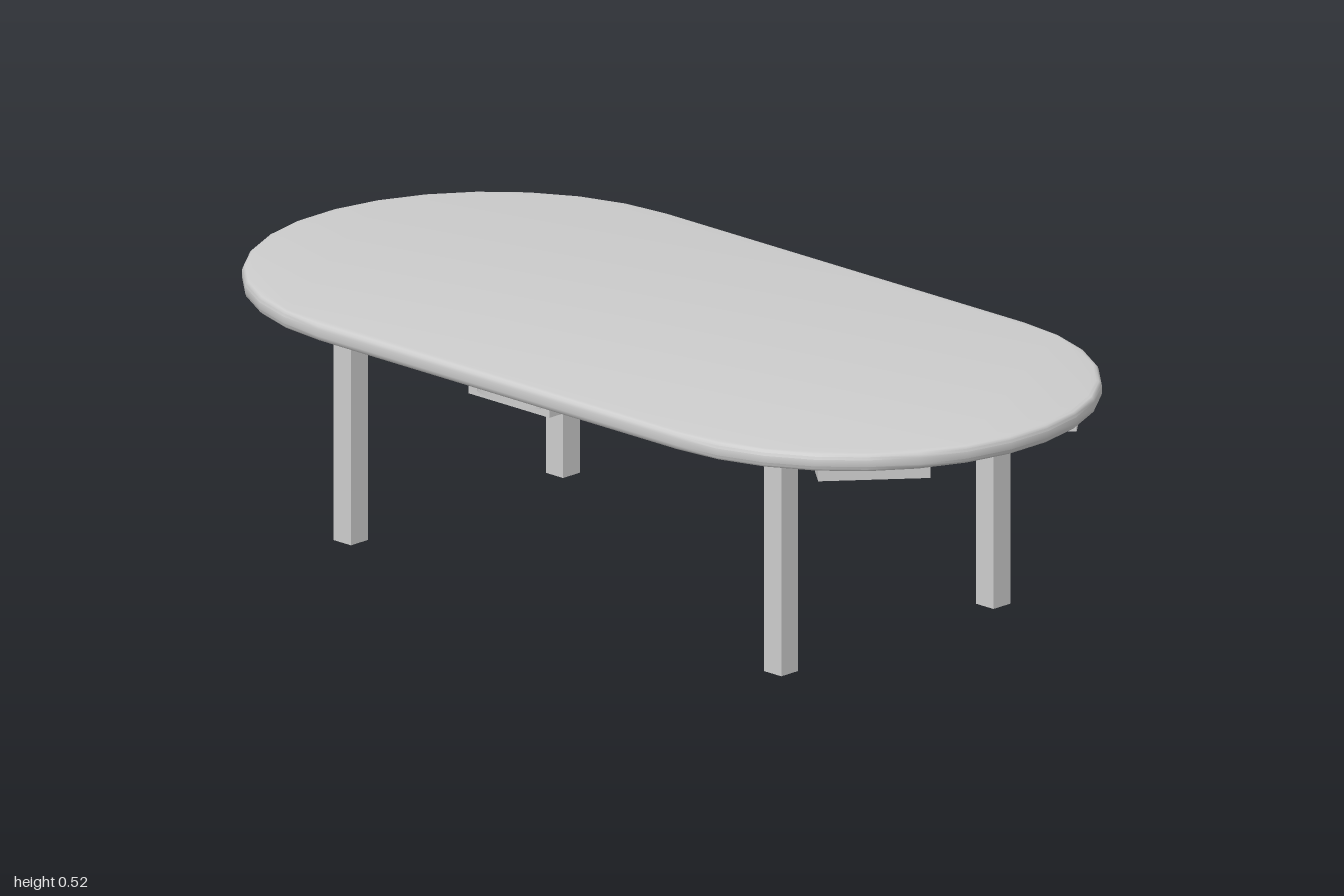
import * as THREE from 'three';
import { toCreasedNormals } from 'three/addons/utils/BufferGeometryUtils.js';

const TOP_Y = 0.523, UNDER_Y = 0.485;

// Rounded-edge slab with two straight sides and half-round ends
function topGeometry() {
  const points = [], segments = 15, radius = 0.5, bevel = 0.012;
  for (const side of [1, -1]) {
    for (let i = 0; i <= segments; i++) {
      const a = -Math.PI / 2 + (Math.PI * i) / segments;
      points.push(new THREE.Vector2(side * (0.5 + radius * Math.cos(a)), side * radius * Math.sin(a)));
    }
  }
  const geometry = new THREE.ExtrudeGeometry(new THREE.Shape(points), {
    depth: TOP_Y - UNDER_Y - 2 * bevel,
    bevelThickness: bevel,
    bevelSize: bevel,
    bevelOffset: -bevel,
    bevelSegments: 3,
  });
  geometry.rotateX(-Math.PI / 2);
  geometry.translate(0, UNDER_Y + bevel, 0);
  return toCreasedNormals(geometry, 0.7);
}

export function createModel() {
  const model = new THREE.Group();
  model.name = 'table';
  const grey = new THREE.MeshStandardMaterial({ color: 0xcccccc });
  grey.name = 'plain grey';

  const add = (name, geometry, x = 0, y = 0, z = 0, turn = 0) => {
    const mesh = new THREE.Mesh(geometry, grey);
    mesh.name = name;
    mesh.position.set(x, y, z);
    mesh.rotation.y = turn;
    model.add(mesh);
  };

  add('tableTop', topGeometry());

  // Square legs, and slanted blocks under the two ends
  const leg = new THREE.BoxGeometry(0.048, UNDER_Y + 0.005, 0.048);
  const block = new THREE.BoxGeometry(0.324, 0.033, 0.225);
  const blockY = 0.4735, slant = THREE.MathUtils.degToRad(40);
  for (const sx of [1, -1]) {
    for (const sz of [1, -1]) {
      add('leg', leg, sx * 0.6, (UNDER_Y + 0.005) / 2, sz * 0.302);
      add('endBlock', block, sx * 0.728, blockY, sz * 0.19, -sx * sz * slant);
    }
  }

  // Middle blocks with a shallow curved lip on the outer end
  const lip = new THREE.CylinderGeometry(1, 1, 0.02, 24);
  lip.scale(0.09, 1, 0.024);
  for (const sz of [1, -1]) {
    add('middleBlock', block, 0, blockY, sz * 0.302, Math.PI / 2);
    add('curvedLip', lip, 0, 0.48, sz * 0.461);
  }

  return model;
}
